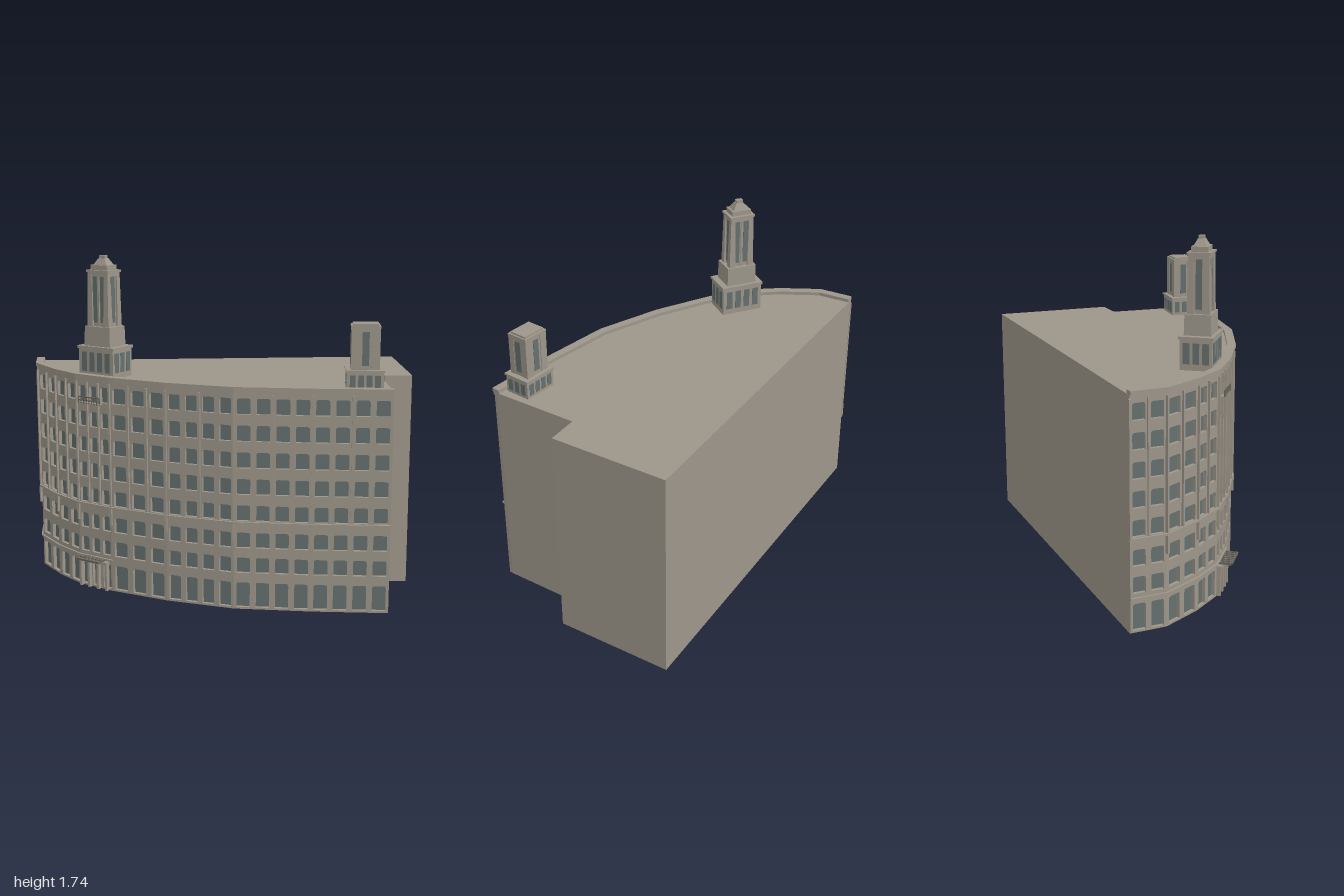
import * as THREE from 'three';

const stone = new THREE.MeshStandardMaterial({ color: 0x9d968a });
stone.name = 'stone';
const glass = new THREE.MeshStandardMaterial({ color: 0x64706f });
glass.name = 'glass';
const metal = new THREE.MeshStandardMaterial({ color: 0x6a665d });
metal.name = 'metal';

// Faceted street front, running from the back left corner to the right end (x, z)
const FRONT = [[-0.985, -0.55], [-0.98, -0.37], [-0.875, -0.17], [-0.76, -0.015], [-0.59, 0.115],
  [-0.31, 0.28], [0.02, 0.42], [0.40, 0.49], [0.785, 0.54]];
const BAYS = [2, 2, 2, 3, 3, 4, 4, 4];
const ROWS = [[0.01, 0.14], [0.19, 0.27], [0.32, 0.40], [0.46, 0.54],
  [0.595, 0.675], [0.73, 0.81], [0.865, 0.945], [1.0, 1.08]];
const DEPTH = 0.022;
const ROOF = 1.12;

function add(parent, name, geometry, material, x = 0, y = 0, z = 0) {
  const mesh = new THREE.Mesh(geometry, material);
  mesh.name = name;
  mesh.position.set(x, y, z);
  parent.add(mesh);
  return mesh;
}

// Box standing on y
function block(parent, name, w, h, d, x, y, z, material = stone) {
  return add(parent, name, new THREE.BoxGeometry(w, h, d), material, x, y + h / 2, z);
}

// Box whose top is scaled to a different size
function frustum(parent, name, w, d, topW, topD, h, x, y, z) {
  const g = new THREE.BoxGeometry(w, h, d).toNonIndexed();
  const p = g.attributes.position;
  for (let i = 0; i < p.count; i++) {
    if (p.getY(i) > 0) p.setXYZ(i, p.getX(i) * topW / w, h / 2, p.getZ(i) * topD / d);
  }
  g.computeVertexNormals();
  return add(parent, name, g, stone, x, y + h / 2, z);
}

// Mitred offset of the street front, positive is outwards
function offset(points, amount) {
  const normal = (a, b) => {
    const dx = b[0] - a[0], dz = b[1] - a[1], l = Math.hypot(dx, dz);
    return [dz / l * 1, -dx / l].map((v) => -v);
  };
  return points.map((p, i) => {
    const n1 = normal(points[Math.max(i - 1, 0)], points[Math.max(i, 1)]);
    const last = points.length - 1;
    const n2 = normal(points[Math.min(i, last - 1)], points[Math.min(i + 1, last)]);
    const k = amount / (1 + n1[0] * n2[0] + n1[1] * n2[1]);
    return [p[0] + (n1[0] + n2[0]) * k, p[1] + (n1[1] + n2[1]) * k];
  });
}

// Vertical prism over a plan outline
function prism(parent, name, outline, y, h, material = stone) {
  const shape = new THREE.Shape(outline.map(([x, z]) => new THREE.Vector2(x, -z)));
  const g = new THREE.ExtrudeGeometry(shape, { depth: h, bevelEnabled: false });
  g.rotateX(-Math.PI / 2);
  return add(parent, name, g, material, 0, y, 0);
}

function strip(parent, name, points, out, inn, y, h) {
  return prism(parent, name, [...offset(points, out), ...offset(points, inn).reverse()], y, h);
}

// Window opening with softly rounded upper corners
function opening(x0, x1, y0, y1) {
  const r = 0.012, p = new THREE.Path();
  p.moveTo(x0, y0);
  p.lineTo(x0, y1 - r);
  p.quadraticCurveTo(x0, y1, x0 + r, y1);
  p.lineTo(x1 - r, y1);
  p.quadraticCurveTo(x1, y1, x1, y1 - r);
  p.lineTo(x1, y0);
  p.closePath();
  return p;
}

// One flat length of street front: pierced wall, glass and fins
function facadeSection(a, b, bays, isEntrance) {
  const section = new THREE.Group();
  section.name = 'facadeSection';
  const dx = b[0] - a[0], dz = b[1] - a[1], len = Math.hypot(dx, dz);
  section.position.set(a[0], 0, a[1]);
  section.rotation.y = -Math.atan2(dz, dx);

  const shape = new THREE.Shape();
  shape.moveTo(0, 0).lineTo(len, 0).lineTo(len, ROOF).lineTo(0, ROOF).closePath();
  const pitch = len / bays;
  for (const [y0, y1] of ROWS) {
    for (let i = 0; i < bays; i++) {
      const c = (i + 0.5) * pitch, hw = pitch * 0.35;
      shape.holes.push(opening(c - hw, c + hw, y0, y1));
    }
  }
  const wall = new THREE.ExtrudeGeometry(shape, { depth: DEPTH, bevelEnabled: false, curveSegments: 3 });
  add(section, 'piercedWall', wall, stone, 0, 0, -DEPTH);
  add(section, 'windowGlass', new THREE.PlaneGeometry(len, ROOF - 0.02), glass, len / 2, ROOF / 2, -DEPTH + 0.004);

  // Upright fins between bays, with short drops below the belt at the joints
  for (let i = 0; i < bays; i += bays > 3 ? 2 : 1) {
    block(section, 'fin', 0.01, 0.64, 0.014, i * pitch, 0.46, 0.004, stone);
  }
  block(section, 'finDrop', 0.012, 0.09, 0.016, 0, 0.36, 0.005, stone);

  if (isEntrance) {
    // Doorway with piers, lintel, slatted canopy and a shallow balcony high above
    const m = len * 0.46;
    for (const s of [-0.085, -0.03, 0.03, 0.085]) block(section, 'doorPier', 0.014, 0.145, 0.022, m + s, 0, 0.01);
    block(section, 'doorLintel', 0.19, 0.015, 0.026, m, 0.14, 0.012);
    const frame = (name, y, w, d, h) => {
      for (const z of [0.006, d / 2, d]) block(section, name + 'Rail', w, h, 0.007, m, y, z, metal);
      for (let i = 0; i <= 6; i++) block(section, name + 'Slat', 0.006, h, d, m + (i / 6 - 0.5) * w, y, d / 2, metal);
    };
    frame('canopy', 0.16, 0.15, 0.07, 0.01);
    block(section, 'canopyDeck', 0.15, 0.005, 0.07, m, 0.158, 0.035);
    block(section, 'balconyFloor', 0.14, 0.006, 0.025, m, 0.99, 0.012);
    for (const y of [1.005, 1.022]) block(section, 'balconyRail', 0.14, 0.005, 0.005, m, y, 0.023, metal);
    for (let i = 0; i <= 8; i++) {
      block(section, 'balconyBar', 0.004, 0.035, 0.004, m + (i / 8 - 0.5) * 0.136, 0.99, 0.023, metal);
    }
  }
  return section;
}

// Thin window plates on all four sides of a box of size w by d
function windowsAround(parent, w, d, y, h, nLong, nShort, ww) {
  for (const s of [-1, 1]) {
    for (let i = 0; i < nLong; i++) {
      block(parent, 'towerWindow', ww, h, 0.004, ((i + 0.5) / nLong - 0.5) * w * 0.9, y, s * d / 2, glass);
    }
    for (let i = 0; i < nShort; i++) {
      block(parent, 'towerWindow', 0.004, h, ww, s * w / 2, y, ((i + 0.5) / nShort - 0.5) * d * 0.9, glass);
    }
  }
}

function tallTower() {
  const t = new THREE.Group();
  t.name = 'tallTower';
  block(t, 'towerBase', 0.22, 0.15, 0.155, 0, 1.12, 0);
  block(t, 'baseCornice', 0.232, 0.014, 0.167, 0, 1.266, 0);
  windowsAround(t, 0.22, 0.155, 1.15, 0.1, 4, 3, 0.032);
  frustum(t, 'middleTier', 0.165, 0.13, 0.16, 0.125, 0.1, 0, 1.28, 0);
  block(t, 'shaft', 0.112, 0.28, 0.086, 0, 1.38, 0);
  windowsAround(t, 0.112, 0.086, 1.4, 0.235, 2, 1, 0.03);
  for (const sx of [-1, 1]) {
    for (const sz of [-1, 1]) {
      frustum(t, 'cornerButtress', 0.034, 0.034, 0.024, 0.024, 0.28, sx * 0.051, 1.38, sz * 0.038);
    }
    block(t, 'shaftRib', 0.01, 0.27, 0.01, 0, 1.38, sx * 0.044);
  }
  block(t, 'shaftLintel', 0.122, 0.025, 0.096, 0, 1.635, 0);
  block(t, 'shaftCornice', 0.138, 0.012, 0.112, 0, 1.655, 0);
  block(t, 'crownStep', 0.105, 0.025, 0.08, 0, 1.667, 0);
  frustum(t, 'crownRoof', 0.085, 0.065, 0.04, 0.03, 0.035, 0, 1.69, 0);
  block(t, 'finial', 0.035, 0.018, 0.026, 0, 1.722, 0);
  t.position.set(-0.61, 0, -0.037);
  t.rotation.y = -0.65;
  return t;
}

function shortTower() {
  const t = new THREE.Group();
  t.name = 'shortTower';
  block(t, 'towerBase', 0.18, 0.09, 0.137, 0, 1.12, 0);
  block(t, 'baseCornice', 0.192, 0.01, 0.15, 0, 1.21, 0);
  windowsAround(t, 0.18, 0.137, 1.135, 0.06, 4, 3, 0.028);
  block(t, 'shaft', 0.135, 0.21, 0.105, 0, 1.22, 0);
  windowsAround(t, 0.135, 0.105, 1.24, 0.165, 1, 1, 0.034);
  // Raised corners leave a shallow recess for each slot window
  for (const sx of [-1, 1]) for (const sz of [-1, 1]) {
    block(t, 'cornerPier', 0.04, 0.205, 0.03, sx * 0.05, 1.22, sz * 0.041);
  }
  block(t, 'shaftCap', 0.142, 0.014, 0.114, 0, 1.42, 0);
  block(t, 'roofSlab', 0.125, 0.01, 0.095, 0, 1.433, 0);
  t.position.set(0.662, 0, 0.413);
  t.rotation.y = -0.13;
  return t;
}

export function createModel() {
  const model = new THREE.Group();
  model.name = 'cornerBuilding';

  // Solid core with plain side and rear walls
  const plan = [...offset(FRONT, -DEPTH), [0.81, 0.065], [0.975, 0.065], [0.992, -0.553], [-0.985, -0.553]];
  prism(model, 'buildingCore', plan, 0, ROOF);

  BAYS.forEach((n, i) => model.add(facadeSection(FRONT[i], FRONT[i + 1], n, i === 3)));

  // Horizontal bands following the street front
  strip(model, 'parapet', FRONT, 0.013, -0.03, ROOF, 0.018);
  strip(model, 'corniceBand', FRONT, 0.006, -0.01, 1.105, 0.015);
  strip(model, 'beltCourse', FRONT, 0.012, -0.01, 0.447, 0.01);
  strip(model, 'entranceBand', FRONT.slice(0, 5), 0.01, -0.01, 0.163, 0.008);

  model.add(tallTower(), shortTower());
  return model;
}
